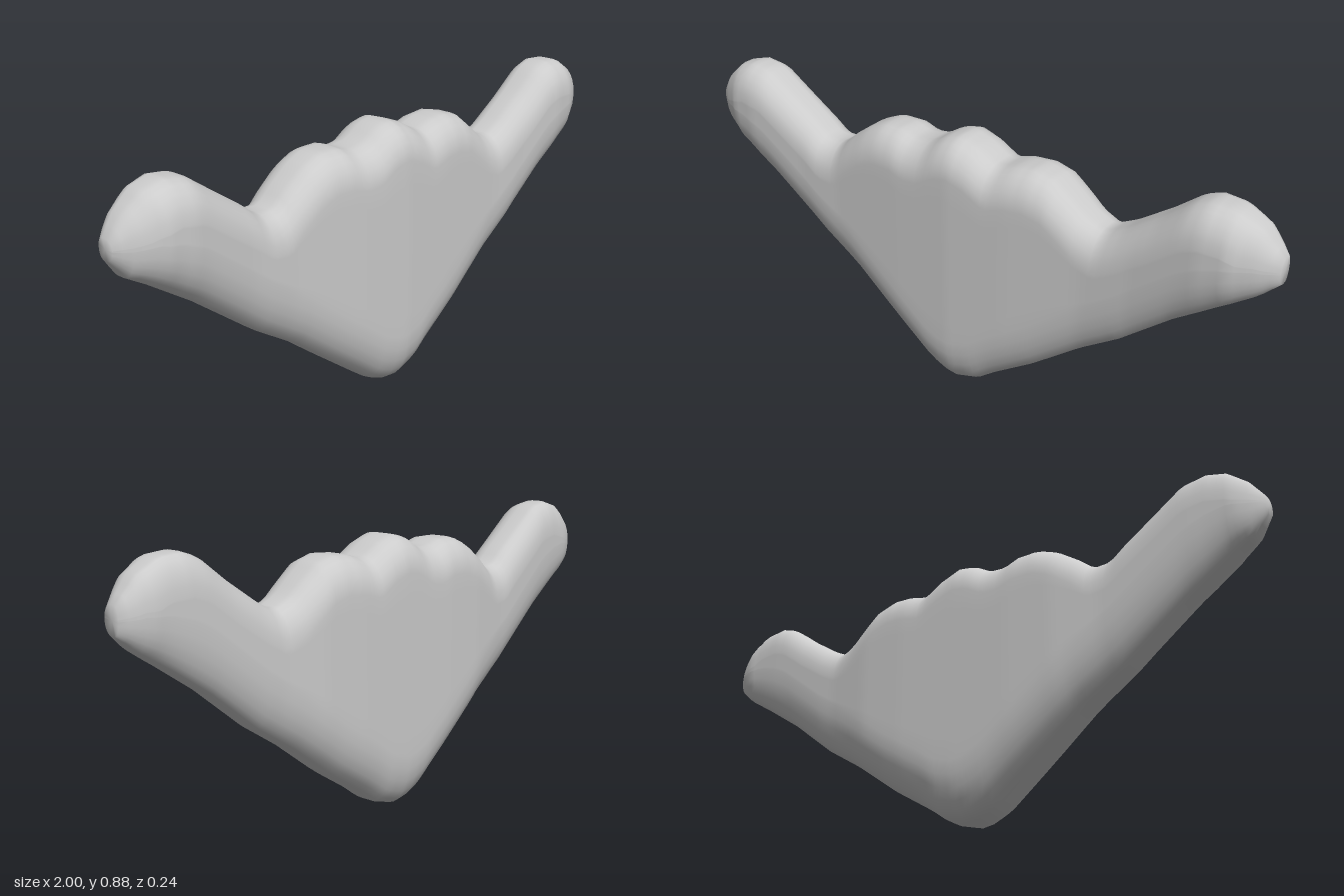
import * as THREE from 'three';

// Piecewise-linear lookup in a list of [x, value] points
function lookup(points, x) {
  let k = 1;
  while (k < points.length - 1 && points[k][0] < x) k++;
  const [x0, v0] = points[k - 1], [x1, v1] = points[k];
  return v0 + (v1 - v0) * THREE.MathUtils.clamp((x - x0) / (x1 - x0), 0, 1);
}

// Upper edge: rounded arm ends, a notch inside each arm, three bumps between
const upper = [
  [-1, 0.76], [-0.96, 0.815], [-0.9, 0.865], [-0.84, 0.882], [-0.77, 0.872], [-0.66, 0.795],
  [-0.58, 0.74], [-0.53, 0.7], [-0.47, 0.697], [-0.42, 0.74], [-0.35, 0.79], [-0.29, 0.815],
  [-0.22, 0.815], [-0.17, 0.797], [-0.11, 0.803], [-0.05, 0.84], [0, 0.85], [0.06, 0.83],
  [0.13, 0.79], [0.2, 0.81], [0.26, 0.815], [0.32, 0.8], [0.38, 0.755], [0.43, 0.715],
  [0.49, 0.69], [0.55, 0.72], [0.66, 0.795], [0.75, 0.865], [0.8, 0.882], [0.87, 0.877],
  [0.94, 0.84], [1, 0.77],
];
// Lower edge: a blunt V
const lower = [
  [-1, 0.7], [-0.96, 0.645], [-0.9, 0.61], [-0.75, 0.51], [-0.54, 0.35], [-0.4, 0.26],
  [-0.27, 0.16], [-0.15, 0.07], [-0.09, 0.025], [-0.04, 0.005], [0, 0], [0.07, 0.02],
  [0.13, 0.065], [0.27, 0.155], [0.43, 0.275], [0.56, 0.36], [0.72, 0.49], [0.85, 0.58],
  [0.95, 0.645], [1, 0.69],
];
// Front and back depth, by distance from the middle
const frontDepth = [[0, 0.12], [0.2, 0.112], [0.45, 0.097], [0.6, 0.097], [0.8, 0.107], [0.88, 0.1], [0.95, 0.065], [1, 0.025]];
const backDepth = [[0, -0.123], [0.2, -0.122], [0.35, -0.117], [0.5, -0.1], [0.8, -0.082], [0.92, -0.073], [0.97, -0.055], [1, -0.03]];

const ROUND = 6; // steps in each rounded edge
const FLAT = 8;  // steps across the flat face

// One side of a cross-section, bottom to top: [y, fullness 0..1]
function sideProfile(lo, hi) {
  const h = hi - lo;
  const rLow = Math.min(0.17, h * 0.48), rHigh = Math.min(0.11, h * 0.45);
  const rows = [];
  for (let i = 0; i <= ROUND; i++) {
    const a = (i / ROUND) * Math.PI / 2;
    rows.push([lo + rLow * (1 - Math.cos(a)), 0.22 + 0.78 * Math.sin(a)]);
  }
  for (let i = 1; i < FLAT; i++) rows.push([THREE.MathUtils.lerp(lo + rLow, hi - rHigh, i / FLAT), 1]);
  for (let i = ROUND; i >= 0; i--) {
    const a = (i / ROUND) * Math.PI / 2;
    rows.push([hi - rHigh * (1 - Math.cos(a)), 0.22 + 0.78 * Math.sin(a)]);
  }
  return rows;
}

// Closed ring at x: up the front, down the back
function ring(x) {
  const rows = sideProfile(lookup(lower, x), lookup(upper, x));
  const mid = -0.008;
  const zf = lookup(frontDepth, Math.abs(x)), zb = lookup(backDepth, Math.abs(x));
  const front = rows.map(([y, f]) => [x, y, mid + (zf - mid) * f]);
  const back = rows.map(([y, f]) => [x, y, mid + (zb - mid) * f]).reverse();
  return [...front, ...back];
}

function bodyGeometry() {
  const columns = 100;
  const positions = [], index = [];
  let n = 0;
  for (let i = 0; i <= columns; i++) {
    const points = ring(-1 + (2 * i) / columns);
    n = points.length;
    positions.push(...points.flat());
  }
  for (let i = 0; i < columns; i++) {
    for (let j = 0; j < n; j++) {
      const k = (j + 1) % n;
      const a = i * n + j, b = (i + 1) * n + j, c = (i + 1) * n + k, d = i * n + k;
      index.push(a, b, c, a, c, d);
    }
  }
  // Small closing fans at the arm ends
  const left = positions.length / 3, right = left + 1, last = columns * n;
  positions.push(-1, 0.73, -0.005, 1, 0.73, -0.005);
  for (let j = 0; j < n; j++) {
    const k = (j + 1) % n;
    index.push(left, j, k, right, last + k, last + j);
  }
  const geometry = new THREE.BufferGeometry();
  geometry.setAttribute('position', new THREE.Float32BufferAttribute(positions, 3));
  geometry.setIndex(index);
  geometry.computeVertexNormals();
  return geometry;
}

export function createModel() {
  const group = new THREE.Group();
  const body = new THREE.Mesh(bodyGeometry(), new THREE.MeshStandardMaterial({ color: 0xcccccc }));
  body.name = 'wingedBody';
  group.add(body);
  return group;
}
